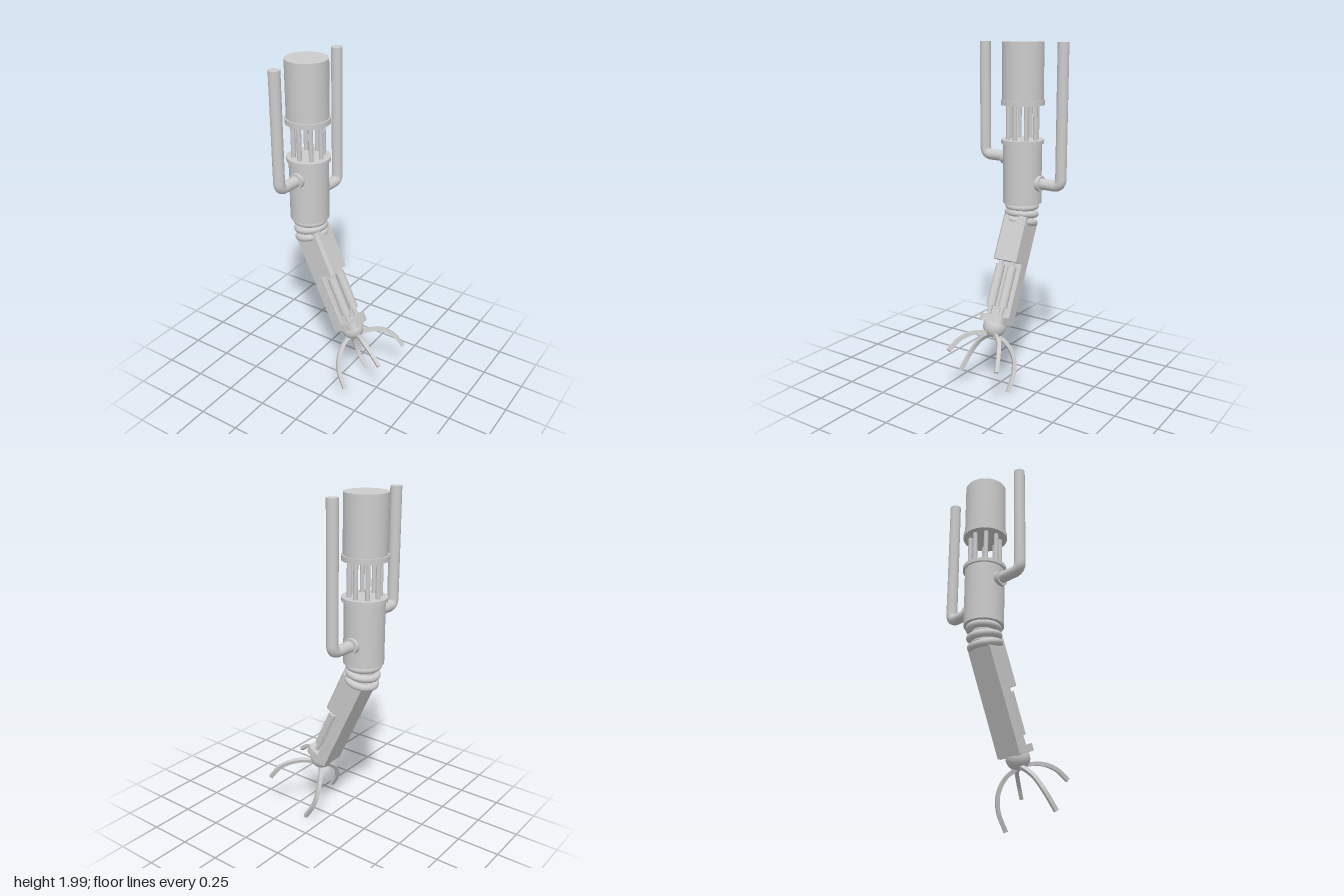
import * as THREE from 'three';

const grey = new THREE.MeshStandardMaterial({ color: 0xcccccc });
const flatGrey = new THREE.MeshStandardMaterial({ color: 0xcccccc, flatShading: true });
const V = (x, y, z) => new THREE.Vector3(x, y, z);

function add(parent, name, geometry, x = 0, y = 0, z = 0, material = grey) {
  const mesh = new THREE.Mesh(geometry, material);
  mesh.name = name;
  mesh.position.set(x, y, z);
  parent.add(mesh);
  return mesh;
}

// Upright cylinder between two heights
function post(parent, name, r, top, bottom, x = 0, z = 0, sides = 48) {
  return add(parent, name, new THREE.CylinderGeometry(r, r, top - bottom, sides), x, (top + bottom) / 2, z);
}

// Block hanging down from y = top, with cut or rounded corners on its +x side
function block(parent, name, x0, x1, w, top, bottom, corner, round) {
  const s = new THREE.Shape();
  s.moveTo(x0, -w);
  s.lineTo(x1 - corner, -w);
  if (round) s.quadraticCurveTo(x1, -w, x1, -w + corner);
  else s.lineTo(x1, -w + corner);
  s.lineTo(x1, w - corner);
  if (round) s.quadraticCurveTo(x1, w, x1 - corner, w);
  else s.lineTo(x1 - corner, w);
  s.lineTo(x0, w);
  s.closePath();
  const g = new THREE.ExtrudeGeometry(s, { depth: top - bottom, bevelEnabled: false, curveSegments: 8 });
  g.rotateX(Math.PI / 2);
  return add(parent, name, g, 0, top, 0);
}

// Square bar swept along a curve, kept level with the plane it bends in
function fingerGeometry(points, half) {
  const curve = new THREE.CatmullRomCurve3(points);
  const a = points[0], b = points[2], c = points[points.length - 1];
  const plane = b.clone().sub(a).cross(c.clone().sub(a)).normalize();
  const n = 24, pos = [], idx = [];
  for (let i = 0; i <= n; i++) {
    const p = curve.getPointAt(i / n), t = curve.getTangentAt(i / n);
    const out = plane.clone().cross(t).normalize();
    const side = t.clone().cross(out).normalize();
    for (const [u, v] of [[-1, -1], [1, -1], [1, 1], [-1, 1]]) {
      const q = p.clone().addScaledVector(out, u * half).addScaledVector(side, v * half);
      pos.push(q.x, q.y, q.z);
    }
  }
  for (let i = 0; i < n; i++) {
    for (let k = 0; k < 4; k++) {
      const p = i * 4 + k, q = i * 4 + (k + 1) % 4;
      idx.push(p, q, q + 4, p, q + 4, p + 4);
    }
  }
  const e = n * 4;
  idx.push(0, 2, 1, 0, 3, 2, e, e + 1, e + 2, e, e + 2, e + 3);
  const g = new THREE.BufferGeometry();
  g.setAttribute('position', new THREE.Float32BufferAttribute(pos, 3));
  g.setIndex(idx);
  const flat = g.toNonIndexed();
  flat.computeVertexNormals();
  return flat;
}

// Side pipe: collar on the body, a bend, then straight up to the top
function sidePipe(parent, name, y, s, x) {
  const pipe = new THREE.Group();
  pipe.name = name;
  parent.add(pipe);
  const r = 0.032, z = 0.265 * s, bend = 0.045;
  const path = new THREE.CurvePath();
  const p1 = V(x * 0.8, y, z - bend * s), p2 = V(x, y + bend, z);
  path.add(new THREE.LineCurve3(V(0, y, 0.09 * s), p1));
  path.add(new THREE.QuadraticBezierCurve3(p1, V(x, y, z), p2));
  path.add(new THREE.LineCurve3(p2, V(x, 2, z)));
  add(pipe, 'pipe', new THREE.TubeGeometry(path, 100, r, 24));
  const cap = add(pipe, 'pipeTop', new THREE.CircleGeometry(r, 24), x, 2, z);
  cap.rotation.x = -Math.PI / 2;
  const collar = add(pipe, 'pipeCollar', new THREE.CylinderGeometry(0.045, 0.045, 0.04, 32), 0, y, 0.112 * s);
  collar.rotation.x = Math.PI / 2;
}

export function createModel() {
  const model = new THREE.Group();
  model.name = 'mechanicalArm';

  // Upper arm
  const upper = new THREE.Group();
  upper.name = 'upperArm';
  upper.position.x = -0.225;
  model.add(upper);
  post(upper, 'shoulderCylinder', 0.119, 2, 1.66);
  post(upper, 'shoulderFlange', 0.127, 1.678, 1.648);
  for (let i = 0; i < 8; i++) {
    const a = (i / 8) * Math.PI * 2;
    post(upper, 'supportRod', 0.013, 1.66, 1.43, 0.085 * Math.cos(a), 0.085 * Math.sin(a), 16);
  }
  post(upper, 'bodyFlange', 0.125, 1.45, 1.428);
  post(upper, 'bodyCylinder', 0.113, 1.44, 1.075);
  sidePipe(upper, 'frontPipe', 1.34, 1, -0.007);
  sidePipe(upper, 'backPipe', 1.2, -1, 0.014);

  // Elbow: a narrow core wrapped in rings that tip towards the forearm
  post(model, 'elbowCore', 0.07, 1.08, 0.97, -0.22, 0);
  for (const [x, y, tilt] of [[-0.225, 1.058, 0], [-0.219, 1.012, 0.17], [-0.212, 0.965, 0.28]]) {
    const g = new THREE.TorusGeometry(0.08, 0.021, 16, 48).rotateX(Math.PI / 2);
    add(model, 'elbowRing', g, x, y, 0).rotation.z = tilt;
  }

  // Forearm, leaning outwards
  const arm = new THREE.Group();
  arm.name = 'forearm';
  arm.position.set(-0.198, 0.975, -0.002);
  arm.rotation.z = THREE.MathUtils.degToRad(25);
  model.add(arm);
  block(arm, 'forearmSleeve', -0.077, 0.077, 0.077, 0.01, -0.26, 0.016, false);
  block(arm, 'forearmBackPlate', -0.077, -0.005, 0.077, -0.26, -0.62, 0.005, false);
  for (const z of [-0.04, 0.04]) {
    post(arm, 'pistonBody', 0.027, -0.285, -0.53, 0.028, z, 24);
    post(arm, 'pistonRod', 0.013, -0.25, -0.6, 0.028, z, 16);
  }

  // Wrist
  block(arm, 'wristPlate', -0.06, 0.078, 0.077, -0.583, -0.625, 0.04, true);
  add(arm, 'wristBall', new THREE.SphereGeometry(0.068, 32, 24), -0.003, -0.642, 0);

  // Four curved fingers
  const fingers = [
    [V(0.08, 0.335, -0.01), V(0.13, 0.363, -0.045), V(0.2, 0.363, -0.115), V(0.27, 0.32, -0.16), V(0.325, 0.245, -0.183)],
    [V(0.08, 0.335, 0.005), V(0.13, 0.365, 0.025), V(0.2, 0.373, 0.075), V(0.27, 0.352, 0.11), V(0.34, 0.303, 0.133)],
    [V(0.07, 0.335, -0.01), V(0.037, 0.285, -0.06), V(0.024, 0.205, -0.1), V(0.045, 0.115, -0.118), V(0.108, 0.015, -0.118)],
    [V(0.07, 0.34, 0.01), V(0.058, 0.32, 0.055), V(0.058, 0.265, 0.12), V(0.082, 0.185, 0.168), V(0.143, 0.088, 0.195)],
  ];
  for (const points of fingers) add(model, 'finger', fingerGeometry(points, 0.011), 0, 0, 0, flatGrey);

  return model;
}
